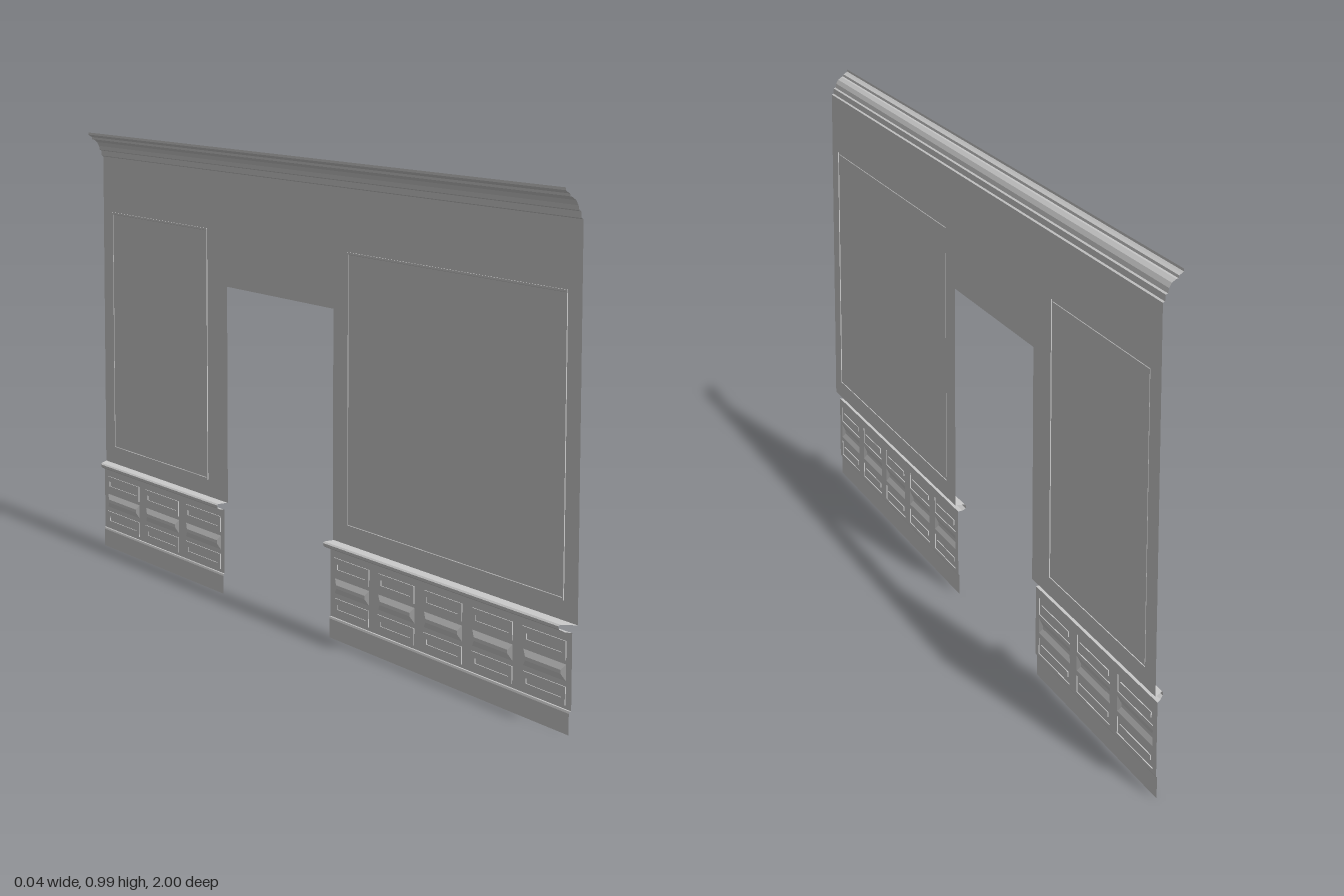
import * as THREE from 'three';

// Local frame: u runs along the wall (+z), v is up, d points into the room (-x).
const WALL = -0.019, DADO = -0.012;
const material = new THREE.MeshStandardMaterial({ color: 0xcccccc, side: THREE.DoubleSide, flatShading: true });

function quadMesh(name, quads) {
  const pos = [];
  for (const [a, b, c, d] of quads) pos.push(...a, ...b, ...c, ...a, ...c, ...d);
  const g = new THREE.BufferGeometry();
  g.setAttribute('position', new THREE.Float32BufferAttribute(pos, 3));
  g.computeVertexNormals();
  const mesh = new THREE.Mesh(g, material);
  mesh.name = name;
  return mesh;
}

// Sweeps a [d, v] profile from u0 to u1; mitred ends shorten with projection.
function strip(name, profile, u0, u1, mitre0 = false, mitre1 = false) {
  const quads = [];
  const at = (p, end) => {
    const cut = p[0] - WALL;
    return [end ? u1 - (mitre1 ? cut : 0) : u0 + (mitre0 ? cut : 0), p[1], p[0]];
  };
  for (let i = 0; i + 1 < profile.length; i++) {
    const p = profile[i], q = profile[i + 1];
    quads.push([at(p, 0), at(p, 1), at(q, 1), at(q, 0)]);
  }
  return quadMesh(name, quads);
}

// Nested rectangles, each step [inset, depth], with the last one filled.
function panel(name, [u0, v0, u1, v1], steps) {
  const loops = steps.map(([s, d]) => [
    [u0 + s, v0 + s, d], [u1 - s, v0 + s, d], [u1 - s, v1 - s, d], [u0 + s, v1 - s, d],
  ]);
  const quads = [loops[loops.length - 1]];
  for (let k = 0; k + 1 < loops.length; k++) {
    for (let i = 0; i < 4; i++) {
      const j = (i + 1) % 4;
      quads.push([loops[k][i], loops[k][j], loops[k + 1][j], loops[k + 1][i]]);
    }
  }
  return quadMesh(name, quads);
}

// Flat face with rectangular openings.
function face(name, outline, rects, depth) {
  const shape = new THREE.Shape(outline.map(([u, v]) => new THREE.Vector2(u, v)));
  for (const [u0, v0, u1, v1] of rects) {
    shape.holes.push(new THREE.Path([[u0, v0], [u0, v1], [u1, v1], [u1, v0]].map(([u, v]) => new THREE.Vector2(u, v))));
  }
  const mesh = new THREE.Mesh(new THREE.ShapeGeometry(shape), material);
  mesh.position.z = depth;
  mesh.name = name;
  return mesh;
}

// Baseboard, row of small panels and chair rail on one side of the doorway.
function wainscot(name, u0, u1, count) {
  const group = new THREE.Group();
  group.name = name;
  const m0 = u0 < -0.9, m1 = u1 > 0.9;
  group.add(strip('baseboard', [[-0.009, 0], [-0.009, 0.04], [-0.010, 0.044], [DADO, 0.045]], u0, u1, m0, m1));
  group.add(strip('chairRail', [[DADO, 0.188], [-0.002, 0.189], [0.005, 0.193], [0.006, 0.199], [0.003, 0.202], [WALL, 0.203]], u0, u1, m0, m1));

  const a = u0 + (m0 ? DADO - WALL : 0), b = u1 - (m1 ? DADO - WALL : 0);
  const pitch = (b - a) / count, gap = 0.018, holes = [];
  const top = DADO + 0.002;
  for (let i = 0; i < count; i++) {
    const l = a + i * pitch + gap, r = a + (i + 1) * pitch - gap;
    const rows = [
      { v: [0.052, 0.086], steps: [[0, DADO], [0, top], [0.012, top], [0.012, DADO]] },
      { v: [0.096, 0.127], steps: [[0, DADO], [0.012, top + 0.002]] },
      { v: [0.135, 0.170], steps: [[0, DADO], [0, top], [0.012, top], [0.012, DADO]] },
    ];
    for (const { v, steps } of rows) {
      const rect = [l, v[0], r, v[1]];
      holes.push(rect);
      group.add(panel('wainscotPanel', rect, steps));
    }
  }
  group.add(face('wainscotFace', [[a, 0.045], [b, 0.045], [b, 0.188], [a, 0.188]], holes, DADO));
  return group;
}

export function createModel() {
  const model = new THREE.Group();
  model.name = 'panelledWall';
  const wall = new THREE.Group();
  wall.name = 'wall';
  wall.rotation.y = -Math.PI / 2;
  model.add(wall);

  // Upper wall around the doorway, with a large raised panel on each side
  const d0 = -0.365, d1 = 0.107, low = 0.203, high = 0.928;
  const rects = [[-0.95, 0.24, -0.46, 0.80], [0.166, 0.24, 0.955, 0.80]];
  wall.add(face('upperWall', [[-1, low], [d0, low], [d0, 0.68], [d1, 0.68], [d1, low], [1, low], [1, high], [-1, high]], rects, WALL));
  for (const rect of rects) {
    wall.add(panel('wallPanel', rect, [[0, WALL], [0, WALL + 0.002], [0.004, WALL + 0.002], [0.005, WALL + 0.001]]));
  }

  // Lower parts on each side of the doorway
  wall.add(wainscot('wainscotBack', -1, d0 - 0.003, 3));
  wall.add(wainscot('wainscotFront', d1 + 0.003, 1, 5));

  // Stepped crown moulding, open at the back
  wall.add(strip('crownMoulding', [
    [WALL, high], [-0.015, 0.930], [-0.014, 0.942], [-0.010, 0.944], [-0.008, 0.953], [-0.003, 0.962],
    [0.005, 0.968], [0.009, 0.969], [0.010, 0.974], [0.015, 0.977], [0.019, 0.980], [0.019, 0.985],
  ], -1, 1));
  return model;
}
